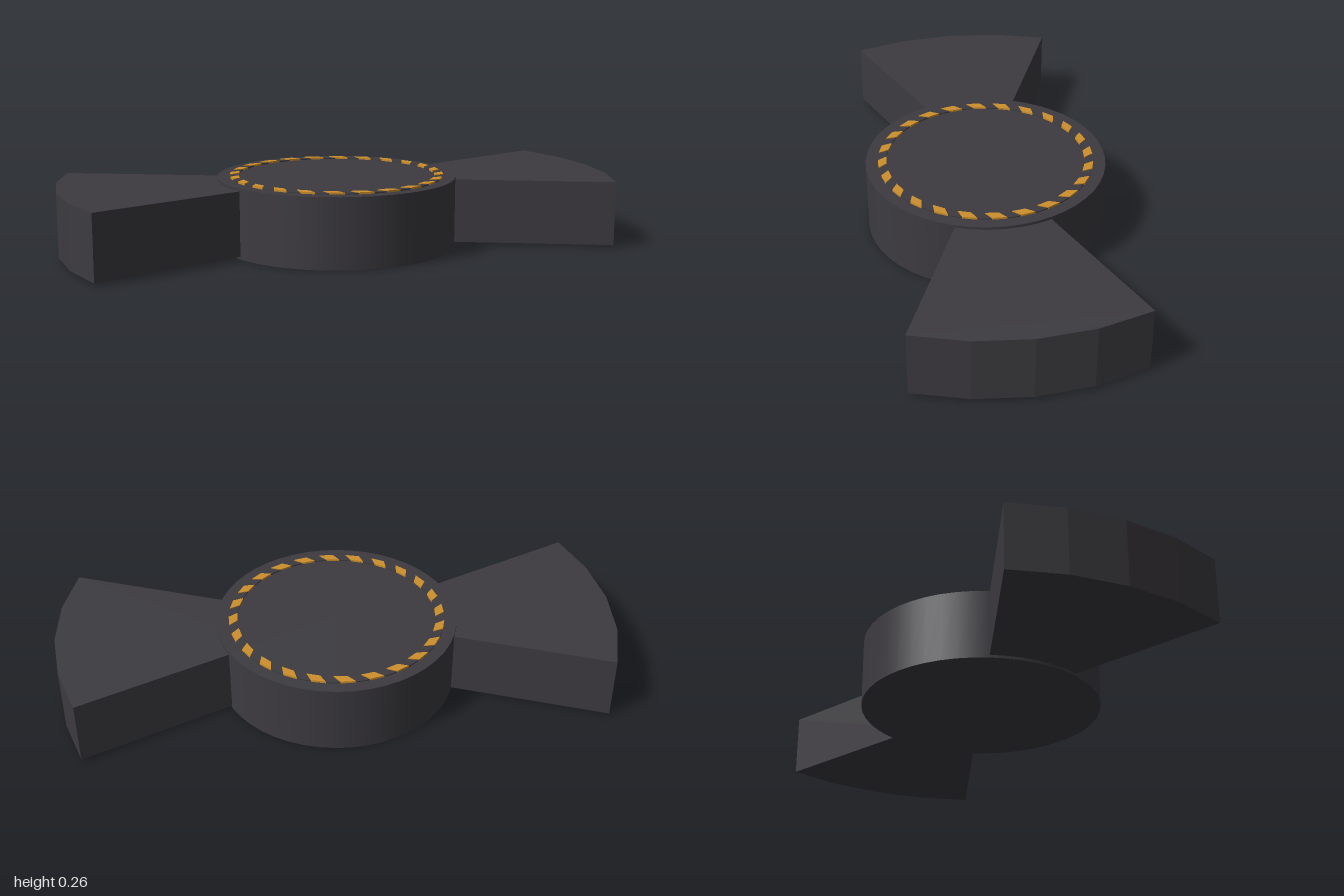
import * as THREE from 'three';

const HUB_R = 0.43, HUB_H = 0.25;
const RING_IN = 0.355, RING_OUT = 0.386, DASHES = 24;

// Extrudes a flat outline of [x, z] points upwards from y0 to y1
function prism(points, y0, y1) {
  const shape = new THREE.Shape(points.map(([x, z]) => new THREE.Vector2(x, -z)));
  const geo = new THREE.ExtrudeGeometry(shape, { depth: y1 - y0, bevelEnabled: false });
  return geo.rotateX(-Math.PI / 2).translate(0, y0, 0);
}

const polar = (r, a) => [r * Math.cos(a), r * Math.sin(a)];

export function createModel() {
  const model = new THREE.Group();
  const charcoal = new THREE.MeshStandardMaterial({ color: 0x3d3b40 });
  charcoal.name = 'charcoal';
  const amber = new THREE.MeshStandardMaterial({ color: 0xcd8f2c });
  amber.name = 'amber';

  const add = (name, geo, mat) => {
    const mesh = new THREE.Mesh(geo, mat);
    mesh.name = name;
    model.add(mesh);
    return mesh;
  };

  // Central drum
  const drum = new THREE.CylinderGeometry(HUB_R, HUB_R, HUB_H, 48);
  add('hub', drum.translate(0, HUB_H / 2, 0), charcoal);

  // Fan-shaped blades, one on each side
  const outline = [polar(0.3, Math.PI / 8), polar(0.3, -Math.PI / 8)];
  for (let i = -2; i <= 2; i++) outline.push(polar(1, i * Math.PI / 16));
  const bladeGeo = prism(outline, 0.01, 0.24);
  add('leftBlade', bladeGeo, charcoal);
  add('rightBlade', bladeGeo, charcoal).rotation.y = Math.PI;

  // Low raised band carrying the warning dashes
  const band = new THREE.Shape().absarc(0, 0, RING_OUT - 0.001, 0, Math.PI * 2);
  band.holes.push(new THREE.Path().absarc(0, 0, RING_IN + 0.001, 0, Math.PI * 2, true));
  const bandGeo = new THREE.ExtrudeGeometry(band, { depth: 0.004, bevelEnabled: false, curveSegments: 48 });
  add('warningBand', bandGeo.rotateX(-Math.PI / 2).translate(0, HUB_H, 0), charcoal);

  // Slanted dashes around the band
  const step = Math.PI * 2 / DASHES;
  const a = -step * 0.15, skew = step * 0.25;
  const dashGeo = prism([
    polar(RING_IN, a + skew), polar(RING_OUT, a),
    polar(RING_OUT, a + step / 2), polar(RING_IN, a + step / 2 + skew),
  ], HUB_H, HUB_H + 0.007);
  const dashes = new THREE.Group();
  dashes.name = 'warningDashes';
  for (let i = 0; i < DASHES; i++) {
    const dash = new THREE.Mesh(dashGeo, amber);
    dash.name = 'warningDash';
    dash.rotation.y = i * step;
    dashes.add(dash);
  }
  model.add(dashes);

  return model;
}
